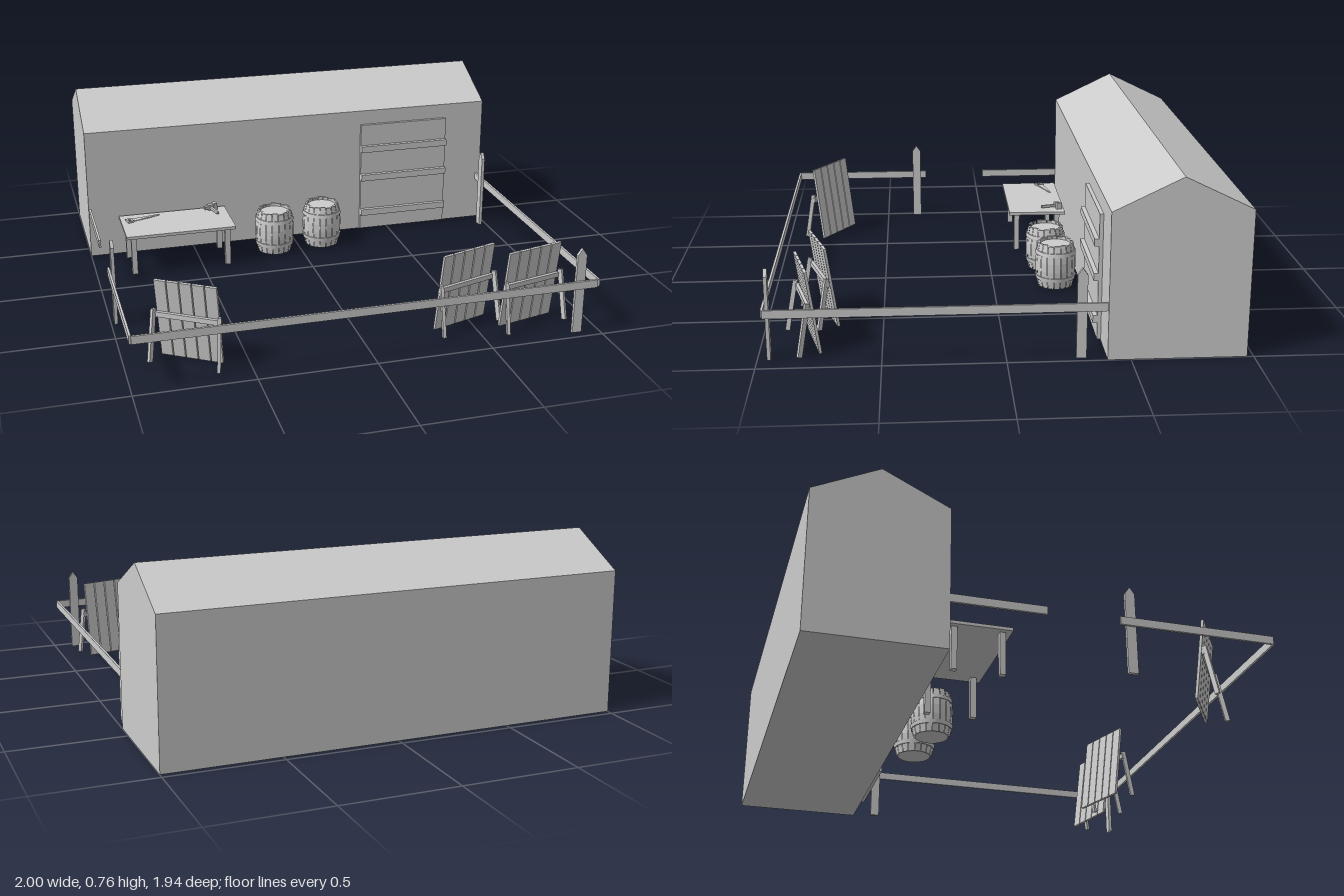
import * as THREE from 'three';

const stone = new THREE.MeshStandardMaterial({ color: 0xcccccc });
stone.name = 'light grey';

function add(parent, name, geometry, x = 0, y = 0, z = 0, ry = 0) {
  const mesh = new THREE.Mesh(geometry, stone);
  mesh.name = name;
  mesh.position.set(x, y, z);
  mesh.rotation.y = ry;
  parent.add(mesh);
  return mesh;
}

// Box given by its lower and upper corners
function span(parent, name, x0, x1, y0, y1, z0, z1) {
  return add(parent, name, new THREE.BoxGeometry(x1 - x0, y1 - y0, z1 - z0),
    (x0 + x1) / 2, (y0 + y1) / 2, (z0 + z1) / 2);
}

// Flat outline extruded along z, centred on its thickness
function slab(points, depth) {
  const shape = new THREE.Shape(points.map(([x, y]) => new THREE.Vector2(x, y)));
  return new THREE.ExtrudeGeometry(shape, { depth, bevelEnabled: false }).translate(0, 0, -depth / 2);
}

// Square beam between two points
function beam(parent, name, a, b, width, depth) {
  const from = new THREE.Vector3(...a), to = new THREE.Vector3(...b);
  const mesh = add(parent, name, new THREE.BoxGeometry(width, from.distanceTo(to), depth));
  mesh.position.copy(from).lerp(to, 0.5);
  mesh.quaternion.setFromUnitVectors(new THREE.Vector3(0, 1, 0), to.sub(from).normalize());
}

function group(parent, name, x, y, z, ry = 0) {
  const g = new THREE.Group();
  g.name = name;
  g.position.set(x, y, z);
  g.rotation.y = ry;
  parent.add(g);
  return g;
}

function faceted(geometry) {
  const g = geometry.toNonIndexed();
  g.computeVertexNormals();
  return g;
}

function addBarrel(parent, x, z) {
  const barrel = group(parent, 'barrel', x, 0, z);
  const bulge = y => 0.094 - 0.014 * ((y - 0.105) / 0.105) ** 2;
  const staves = 18, step = Math.PI * 2 / staves;

  // Curved staves, each with a slightly uneven top
  for (let i = 0; i < staves; i++) {
    const top = 0.207 + 0.003 * ((i * 7) % 3 - 1);
    const profile = [0, 0.2, 0.4, 0.6, 0.8, 1].map(t => new THREE.Vector2(bulge(t * top), t * top));
    profile.push(new THREE.Vector2(bulge(top) - 0.01, top), new THREE.Vector2(bulge(top) - 0.01, 0.19));
    add(barrel, 'stave', faceted(new THREE.LatheGeometry(profile, 1, i * step, step * 0.93)));
  }

  // Inner core closes the gaps and forms the lid and the bottom
  const core = [[0, 0.004], [0.074, 0.004], [0.082, 0.05], [0.087, 0.105], [0.082, 0.15], [0.074, 0.194], [0, 0.194]];
  add(barrel, 'lid and core',
    faceted(new THREE.LatheGeometry(core.map(([r, y]) => new THREE.Vector2(r, y)), staves)));

  // Hoops
  for (const y of [0.045, 0.165]) {
    const lo = y - 0.009, hi = y + 0.009;
    const hoop = [[bulge(lo) - 0.004, lo], [bulge(lo) + 0.003, lo], [bulge(hi) + 0.003, hi],
      [bulge(hi) - 0.004, hi]].map(([r, h]) => new THREE.Vector2(r, h));
    add(barrel, 'hoop', faceted(new THREE.LatheGeometry(hoop, 36)));
  }
}

// Leaning board of planks, propped by a crossbar on two splayed legs
function addScreen(parent, x, z, ry) {
  const screen = group(parent, 'plank screen', x, 0, z, ry);
  const planks = 5, pitch = 0.275 / planks;
  for (let i = 0; i < planks; i++) {
    beam(screen, 'plank', [(i - 2) * pitch, 0, -0.028], [(i - 2) * pitch, 0.355, 0.022], pitch - 0.005, 0.012);
  }
  beam(screen, 'crossbar', [-0.15, 0.2, 0.016], [0.15, 0.2, 0.016], 0.022, 0.014);
  for (const side of [-1, 1]) {
    beam(screen, 'leg', [side * 0.143, 0.225, 0.022], [side * 0.15, 0.002, 0.062], 0.014, 0.02);
  }
}

function addTable(parent) {
  const table = group(parent, 'work table', -0.6025, 0, -0.2475);
  span(table, 'table top', -0.2575, 0.2575, 0.186, 0.2, -0.1375, 0.1375);
  for (const sx of [-1, 1]) for (const sz of [-1, 1]) {
    add(table, 'table leg', new THREE.BoxGeometry(0.025, 0.186, 0.025), sx * 0.222, 0.093, sz * 0.1);
  }

  // Saw lying flat, with a toothed lower edge
  const saw = group(parent, 'saw', -0.81, 0.204, -0.305, 0.28);
  const outline = [[0.145, 0.004], [0, 0.016], [0, -0.014]];
  for (let i = 0; i < 12; i++) {
    const px = (i + 1) * 0.012, py = -0.014 + (i + 1) * 0.001;
    outline.push([px - 0.006, py - 0.004], [px, py]);
  }
  add(saw, 'saw blade', slab(outline, 0.004).rotateX(-Math.PI / 2));
  const grip = new THREE.Shape([[-0.024, -0.02], [0.006, -0.018], [0.006, 0.018], [-0.024, 0.02]]
    .map(p => new THREE.Vector2(...p)));
  grip.holes.push(new THREE.Path([[-0.016, -0.01], [-0.016, 0.01], [-0.004, 0.01], [-0.004, -0.01]]
    .map(p => new THREE.Vector2(...p))));
  add(saw, 'saw handle',
    new THREE.ExtrudeGeometry(grip, { depth: 0.009, bevelEnabled: false }).rotateX(-Math.PI / 2), 0, -0.004, 0);

  // Hammer
  const hammer = group(parent, 'hammer', -0.42, 0.2, -0.355, 0.25);
  add(hammer, 'hammer head', new THREE.BoxGeometry(0.036, 0.028, 0.02), 0.004, 0.014, 0);
  add(hammer, 'hammer face', new THREE.BoxGeometry(0.018, 0.032, 0.028), 0.022, 0.016, 0);
  add(hammer, 'hammer claw', new THREE.BoxGeometry(0.018, 0.014, 0.016), -0.022, 0.014, 0);
  add(hammer, 'hammer handle', new THREE.BoxGeometry(0.011, 0.012, 0.085), 0, 0.012, 0.042);
}

function addFence(parent) {
  const fence = group(parent, 'fence', 0, 0, 0);
  const lo = 0.205, hi = 0.24;
  span(fence, 'front rail', -0.99, 0.975, lo, hi, 0.961, 0.971);
  span(fence, 'left rail', 0.977, 0.987, lo, hi, -0.41, 0.965);
  span(fence, 'right front rail', -0.998, -0.988, lo, hi, 0.295, 0.965);
  span(fence, 'right back rail', -0.998, -0.988, lo, hi, -0.41, -0.01);

  // Pointed posts on the inside of the rails
  const post = slab([[-0.021, 0], [0.021, 0], [0.021, 0.355], [0, 0.385], [-0.021, 0.355]], 0.015);
  add(fence, 'front post', post, 0.9, 0, 0.953);
  add(fence, 'left post', post, 0.968, 0, -0.302, Math.PI / 2);
  add(fence, 'right post', post, -0.979, 0, 0.344, Math.PI / 2);
}

export function createModel() {
  const model = new THREE.Group();
  model.name = 'fenced workshop yard';

  // Long gabled house
  const gable = [[0.405, 0], [0.973, 0], [0.973, 0.622], [0.69, 0.76], [0.405, 0.622]];
  add(model, 'house', slab(gable, 2), 0, 0, 0, Math.PI / 2);

  // Wall rack with three ledges
  const rack = group(model, 'wall rack', 0, 0, 0);
  span(rack, 'rack board', 0.355, 0.8, 0.005, 0.552, -0.406, -0.389);
  for (const y of [0.095, 0.28, 0.43]) {
    span(rack, 'rack ledge', 0.355, 0.8, y - 0.016, y + 0.016, -0.39, -0.37);
  }

  addTable(model);
  addBarrel(model, -0.122, -0.265);
  addBarrel(model, 0.123, -0.288);
  addScreen(model, 0.462, 0.757, 0.31);
  addScreen(model, 0.742, 0.808, 0.24);
  addScreen(model, -0.732, 0.776, -0.575);
  addFence(model);
  return model;
}
